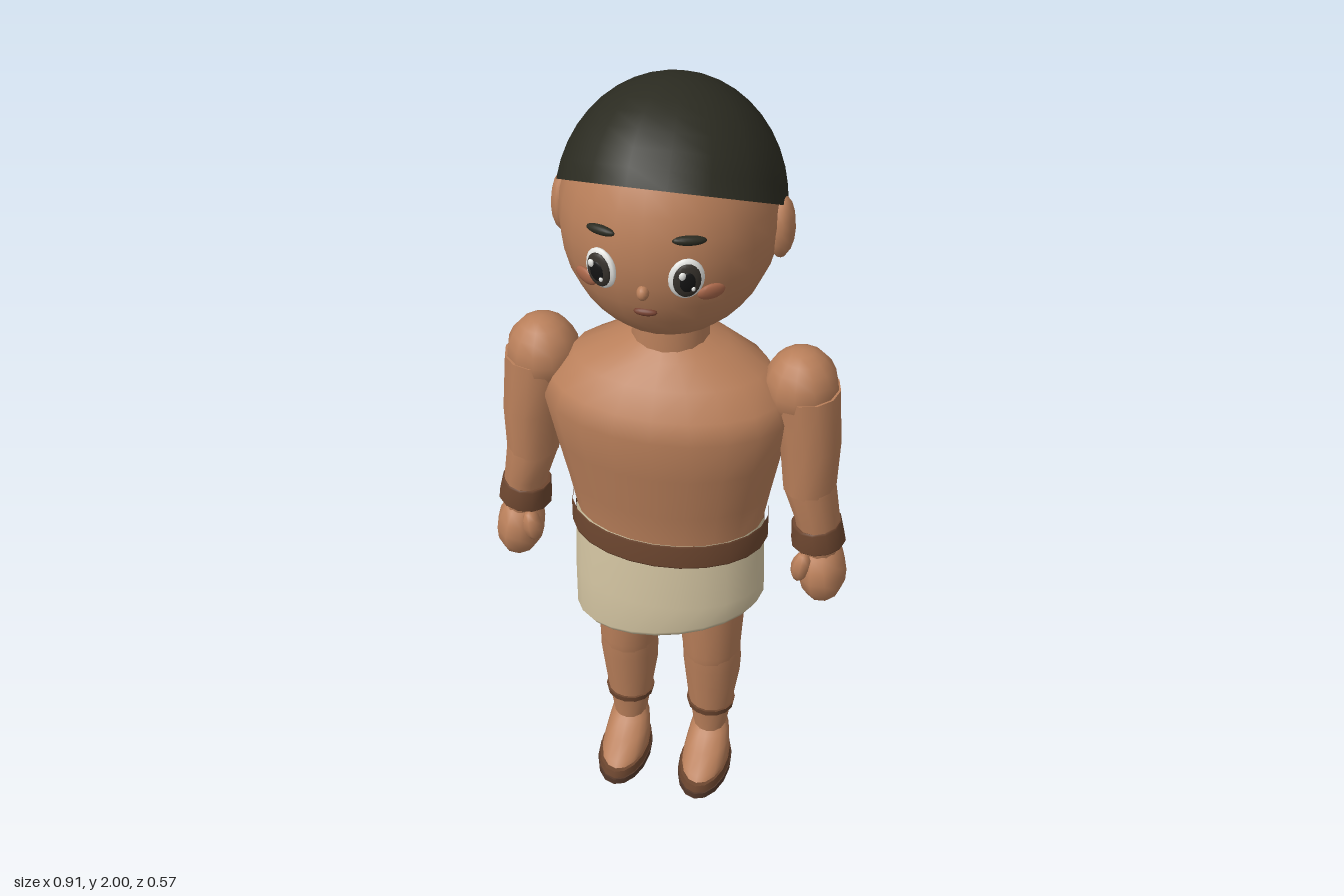
import * as THREE from 'three';

const mat = (name, color) => Object.assign(new THREE.MeshStandardMaterial({ color }), { name });

// Skin of elliptical rings. Row: [y, centreX, radiusX, frontZ, backZ]
function loft(rows, seg = 16, capped = true, bend = null) {
  const pos = [], idx = [];
  const ring = ([y, cx, rx, zf, zb]) => {
    for (let j = 0; j < seg; j++) {
      const a = (j / seg) * Math.PI * 2;
      const x = cx + rx * Math.sin(a);
      const z = (zf + zb) / 2 + ((zf - zb) / 2) * Math.cos(a);
      pos.push(x, bend ? bend(x, y) : y, z);
    }
  };
  rows.forEach(ring);
  for (let i = 0; i < rows.length - 1; i++) {
    for (let j = 0; j < seg; j++) {
      const a = i * seg + j, b = i * seg + ((j + 1) % seg);
      idx.push(a, b, b + seg, a, b + seg, a + seg);
    }
  }
  if (capped) {
    [rows[0], rows[rows.length - 1]].forEach((row, end) => {
      const s = pos.length / 3;
      ring(row);
      for (let j = 1; j < seg - 1; j++) {
        if (end) idx.push(s, s + j, s + j + 1);
        else idx.push(s, s + j + 1, s + j);
      }
    });
  }
  const g = new THREE.BufferGeometry();
  g.setAttribute('position', new THREE.Float32BufferAttribute(pos, 3));
  g.setIndex(idx);
  g.computeVertexNormals();
  return g;
}

export function createModel() {
  const model = new THREE.Group();
  model.name = 'figure';
  const skin = mat('skin', 0xb97f5a);
  const hair = mat('hair', 0x2b2b21);
  hair.side = THREE.DoubleSide;
  const cloth = mat('cloth', 0xd4c5a2);
  const leather = mat('leather', 0x6e4730);
  const sole = mat('sole', 0x54382a);
  const white = mat('eyeWhite', 0xeeeeea);
  const iris = mat('iris', 0x37322c);
  const black = mat('pupil', 0x141414);
  const blush = mat('blush', 0xa9674a);
  const lip = mat('lip', 0x74402f);

  const add = (parent, name, geo, material, x = 0, y = 0, z = 0) => {
    const m = new THREE.Mesh(geo, material);
    m.name = name;
    m.position.set(x, y, z);
    parent.add(m);
    return m;
  };
  const ball = (rx, ry, rz, w = 14, h = 10) => new THREE.SphereGeometry(1, w, h).scale(rx, ry, rz);

  // Head and tilted cap of hair
  const HR = [0.25, 0.29, 0.262], HY = 1.7;
  add(model, 'head', ball(...HR, 24, 16), skin, 0, HY, 0);
  const cap = new THREE.SphereGeometry(1, 18, 10, 0, Math.PI * 2, 0, 1.5);
  cap.rotateX(-0.5).scale(0.262, 0.29, 0.28);
  cap.computeVertexNormals();
  add(model, 'hair', cap, hair, 0, 1.71, -0.015);
  add(model, 'neck', loft([[1.34, 0, 0.095, 0.09, -0.095], [1.45, 0, 0.09, 0.085, -0.09]]), skin);

  // Group sitting on the face, turned along the head's surface
  const onFace = (name, x, y) => {
    const dy = y - HY;
    const z = HR[2] * Math.sqrt(1 - (x / HR[0]) ** 2 - (dy / HR[1]) ** 2);
    const n = new THREE.Vector3(x / HR[0] ** 2, dy / HR[1] ** 2, z / HR[2] ** 2).normalize();
    const g = new THREE.Group();
    g.name = name;
    g.position.set(x, y, z);
    g.rotation.set(-Math.asin(n.y), Math.atan2(n.x, n.z), 0, 'YXZ');
    model.add(g);
    return g;
  };
  add(onFace('noseSpot', 0, 1.635), 'nose', ball(0.014, 0.018, 0.018), skin);
  add(onFace('mouthSpot', 0, 1.575), 'mouth', ball(0.027, 0.009, 0.01), lip);

  for (const s of [1, -1]) {
    const side = s > 0 ? 'left' : 'right';
    add(model, side + 'Ear', ball(0.032, 0.076, 0.046, 10, 8), skin, s * 0.25, 1.68, -0.015);

    // Eye: white, iris, pupil and two glints
    const eye = onFace(side + 'Eye', s * 0.092, 1.68);
    add(eye, 'eyeWhite', ball(0.04, 0.05, 0.014), white, 0, 0, 0.005);
    add(eye, 'iris', ball(0.031, 0.042, 0.01), iris, 0, 0, 0.013);
    add(eye, 'pupil', ball(0.018, 0.025, 0.006), black, 0, 0, 0.02);
    add(eye, 'glint', ball(0.008, 0.01, 0.005, 8, 6), white, -0.012, 0.018, 0.023);
    add(eye, 'smallGlint', ball(0.005, 0.006, 0.004, 8, 6), white, 0.012, -0.016, 0.023);

    const brow = add(onFace(side + 'BrowSpot', s * 0.097, 1.765), 'eyebrow', ball(0.038, 0.011, 0.012), hair);
    brow.rotation.z = -s * 0.06;
    add(onFace(side + 'CheekSpot', s * 0.14, 1.63), 'cheek', ball(0.033, 0.021, 0.01), blush);
  }

  // Torso
  add(model, 'torso', loft([
    [0.65, 0, 0.22, 0.15, -0.14], [0.85, 0, 0.237, 0.165, -0.15], [0.95, 0, 0.255, 0.18, -0.155],
    [1.08, 0, 0.28, 0.203, -0.155], [1.2, 0, 0.303, 0.22, -0.155], [1.25, 0, 0.285, 0.2, -0.154],
    [1.31, 0, 0.235, 0.16, -0.146], [1.355, 0, 0.14, 0.11, -0.125], [1.385, 0, 0.08, 0.07, -0.09],
  ], 20), skin);

  // Wrapped skirt with a slanting hem, and belt
  const hem = (x, y) => (y < 0.6 ? y + x * 0.2 : y);
  add(model, 'skirt', loft([
    [0.855, 0, 0.23, 0.155, -0.145], [0.57, 0, 0.225, 0.16, -0.145], [0.553, 0, 0.236, 0.17, -0.155],
    [0.57, 0, 0.247, 0.18, -0.165], [0.66, 0, 0.247, 0.18, -0.165],
    [0.78, 0, 0.243, 0.175, -0.162], [0.858, 0, 0.24, 0.17, -0.158],
  ], 24, false, hem), cloth);
  add(model, 'belt', loft([
    [0.862, 0, 0.242, 0.17, -0.157], [0.797, 0, 0.242, 0.17, -0.157], [0.795, 0, 0.25, 0.18, -0.166],
    [0.8, 0, 0.252, 0.182, -0.168], [0.86, 0, 0.252, 0.182, -0.168], [0.865, 0, 0.25, 0.18, -0.166],
  ], 24, false), leather);

  for (const s of [1, -1]) {
    const side = s > 0 ? 'left' : 'right';
    const limb = (name, rows, material, seg = 12) =>
      add(model, side + name, loft(rows.map(([y, cx, ...r]) => [y, s * cx, ...r]), seg), material);

    // Arm, bracelet, hand and thumb
    add(model, side + 'Shoulder', ball(0.09, 0.1, 0.09, 12, 10), skin, s * 0.315, 1.27, 0);
    limb('UpperArm', [
      [0.99, 0.35, 0.066, 0.085, -0.06], [1.12, 0.345, 0.075, 0.09, -0.075], [1.27, 0.325, 0.085, 0.09, -0.087],
    ], skin);
    limb('Forearm', [
      [0.8, 0.385, 0.048, 0.065, -0.045], [0.9, 0.373, 0.057, 0.075, -0.057],
      [0.99, 0.352, 0.066, 0.085, -0.06], [1.04, 0.35, 0.06, 0.08, -0.058],
    ], skin);
    const band = limb('Bracelet', [
      [-0.033, 0, 0.067, 0.065, -0.065], [-0.028, 0, 0.069, 0.069, -0.069],
      [0.028, 0, 0.063, 0.067, -0.067], [0.033, 0, 0.061, 0.063, -0.063],
    ], leather);
    band.position.set(s * 0.377, 0.848, 0.01);
    band.rotation.z = s * 0.12;
    const hand = add(model, side + 'Hand', ball(0.062, 0.09, 0.08, 10, 8), skin, s * 0.395, 0.732, 0.015);
    hand.rotation.z = s * 0.1;
    const thumb = add(model, side + 'Thumb', ball(0.025, 0.045, 0.027, 8, 6), skin, s * 0.348, 0.77, 0.066);
    thumb.rotation.z = -s * 0.15;

    // Leg
    limb('Thigh', [
      [0.38, 0.113, 0.074, 0.08, -0.072], [0.41, 0.113, 0.077, 0.085, -0.075],
      [0.55, 0.108, 0.09, 0.093, -0.09], [0.72, 0.105, 0.095, 0.095, -0.095],
    ], skin, 14);
    limb('Shin', [
      [0.07, 0.113, 0.045, 0.05, -0.042], [0.12, 0.113, 0.046, 0.05, -0.042], [0.2, 0.113, 0.06, 0.06, -0.056],
      [0.29, 0.114, 0.073, 0.07, -0.087], [0.35, 0.114, 0.077, 0.078, -0.08], [0.41, 0.113, 0.076, 0.083, -0.073],
    ], skin, 14);
    limb('AnkleBand', [
      [0.183, 0.113, 0.063, 0.063, -0.058], [0.201, 0.113, 0.066, 0.066, -0.062],
    ], leather, 14);

    // Foot and layered sandal
    limb('Foot', [
      [0.03, 0.113, 0.06, 0.185, -0.052], [0.05, 0.113, 0.061, 0.165, -0.054], [0.075, 0.113, 0.057, 0.11, -0.052],
      [0.1, 0.113, 0.052, 0.06, -0.046], [0.125, 0.113, 0.045, 0.035, -0.036],
    ], skin, 16);
    limb('SandalBed', [
      [0.018, 0.113, 0.068, 0.195, -0.06], [0.038, 0.113, 0.065, 0.19, -0.057],
    ], leather, 16);
    limb('Sole', [
      [0, 0.113, 0.07, 0.2, -0.062], [0.018, 0.113, 0.07, 0.2, -0.062],
    ], sole, 16);
  }
  return model;
}
